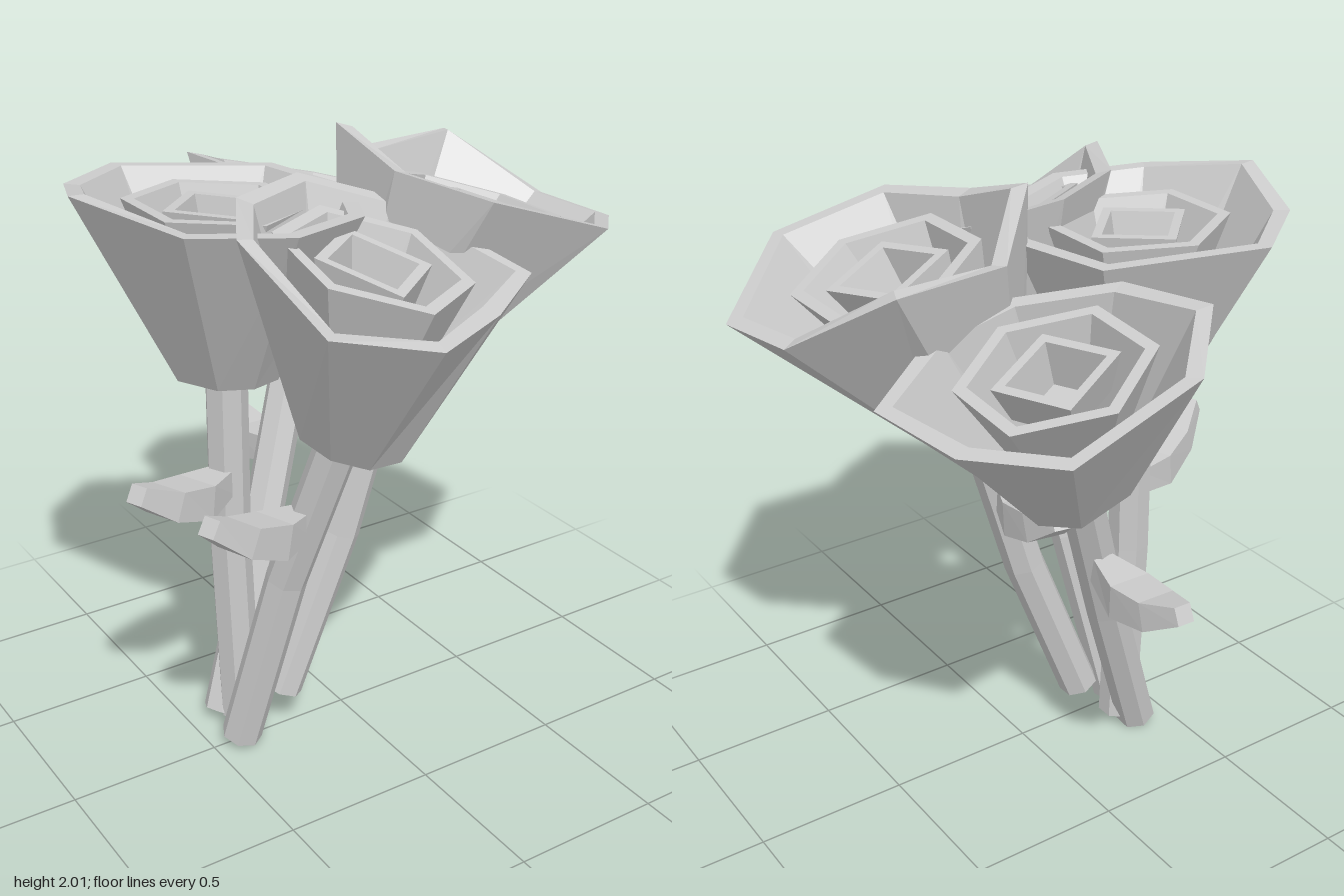
import * as THREE from 'three';

const V = (x, y, z) => new THREE.Vector3(x, y, z);
const rad = THREE.MathUtils.degToRad;
const material = new THREE.MeshStandardMaterial({ color: 0xcccccc, flatShading: true, side: THREE.DoubleSide });

// Skin between successive rings, optionally closed at both ends
function loft(name, rings, capped) {
  const pos = [];
  const tri = (...pts) => pts.forEach(p => pos.push(p.x, p.y, p.z));
  const n = rings[0].length;
  for (let i = 0; i < rings.length - 1; i++) {
    for (let j = 0; j < n; j++) {
      const k = (j + 1) % n;
      tri(rings[i][j], rings[i][k], rings[i + 1][k]);
      tri(rings[i][j], rings[i + 1][k], rings[i + 1][j]);
    }
  }
  const first = rings[0], last = rings[rings.length - 1];
  for (let j = 1; capped && j < n - 1; j++) {
    tri(first[0], first[j + 1], first[j]);
    tri(last[0], last[j], last[j + 1]);
  }
  const geometry = new THREE.BufferGeometry();
  geometry.setAttribute('position', new THREE.Float32BufferAttribute(pos, 3));
  geometry.computeVertexNormals();
  const mesh = new THREE.Mesh(geometry, material);
  mesh.name = name;
  return mesh;
}

// Faceted rod along a path; sizes gives [half width, half height] per point
function rod(name, path, sizes, sides, ref) {
  const rings = path.map((p, i) => {
    const t = path[Math.min(i + 1, path.length - 1)].clone().sub(path[Math.max(i - 1, 0)]).normalize();
    const u = t.clone().cross(ref).normalize();
    const v = t.clone().cross(u);
    return Array.from({ length: sides }, (_, j) => {
      const a = (j + 0.5) / sides * Math.PI * 2;
      return p.clone().addScaledVector(u, Math.cos(a) * sizes[i][0]).addScaledVector(v, Math.sin(a) * sizes[i][1]);
    });
  });
  return loft(name, rings, true);
}

// Tilted polygon ring with a radius at each angle (degrees from the front)
function ring(centre, radii, angles, slope) {
  return radii.map((r, i) => {
    const a = rad(angles[i]);
    const dx = Math.sin(a) * r, dz = Math.cos(a) * r;
    return V(centre.x + dx, centre.y + slope[0] * dx + slope[1] * dz, centre.z + dz);
  });
}

// Thick-walled petal cup from a small bottom ring up to the rim and back down inside
function cup(name, mouth, radii, angles, slope, bottom, lowRadius, wall, capped, tips = []) {
  const low = radii.map(() => lowRadius);
  const thin = list => list.map(r => r - wall);
  const rings = [[bottom, low], [mouth, radii], [mouth, thin(radii)], [bottom, thin(low)]]
    .map(([c, r]) => ring(c, r, angles, slope));
  // Some petal corners stand above or below the rim
  tips.forEach(([i, lift]) => [rings[1], rings[2]].forEach(r => { r[i].y += lift; }));
  return loft(name, rings, capped);
}

// Corner angles of the outer petals, shared by every flower
const petalAngles = [0, 64, 103, 147, 196, 234, 272, 315];
const evenAngles = (n, turn) => Array.from({ length: n }, (_, i) => turn + i * 360 / n);

// Left, front, right and back flowers
const flowers = [
  {
    mouth: [-0.4, 1.84, -0.08], slope: [-0.06, 0], turn: 127, tips: [[3, 0.05]], heartTurn: 0,
    radii: [0.47, 0.47, 0.43, 0.45, 0.46, 0.48, 0.47, 0.45],
    base: [-0.36, 1.28, -0.09], foot: [-0.34, 0.03, -0.1], knee: [-0.36, 0.7, -0.1],
    leaf: [[-0.38, 0.92, -0.08], [-0.76, 1.04, 0.08]],
  },
  {
    mouth: [-0.18, 1.775, 0.46], slope: [-0.16, -0.28], turn: 75, tips: [[4, 0.05], [5, -0.07]], heartTurn: -8,
    radii: [0.46, 0.4, 0.44, 0.4, 0.44, 0.43, 0.47, 0.36],
    base: [-0.2, 1.2, 0.35], foot: [-0.4, 0.02, 0.01], knee: [-0.3, 0.65, 0.15],
    leaf: [[-0.28, 0.88, 0.22], [-0.68, 1.04, 0.37]],
  },
  {
    mouth: [0.43, 1.79, 0.13], slope: [-0.32, 0], turn: 11, tips: [[3, 0.12], [5, 0.08]], heartTurn: -25,
    radii: [0.48, 0.44, 0.42, 0.47, 0.44, 0.45, 0.4, 0.46],
    base: [0.16, 1.25, 0.05], foot: [-0.23, 0.13, -0.01], knee: [-0.02, 0.68, 0.02],
    leaf: [[0.06, 0.97, 0.01], [0.12, 1.07, -0.38]],
  },
  {
    mouth: [0.27, 1.67, -0.56], slope: [-0.28, 0.08], turn: 150, tips: [[2, 0.02]], heartTurn: -23,
    radii: [0.42, 0.4, 0.44, 0.39, 0.38, 0.42, 0.49, 0.4],
    base: [0.07, 1.16, -0.38], foot: [-0.38, 0.02, -0.15], knee: [-0.16, 0.6, -0.25],
    leaf: [[-0.05, 0.84, -0.36], [-0.04, 0.89, -0.77]],
  },
];

function makeFlower(f) {
  const flower = new THREE.Group();
  flower.name = 'flower';
  const mouth = V(...f.mouth), base = V(...f.base);
  // The inner layers sit slightly towards the middle of the bunch
  const heart = V(mouth.x * 0.94, mouth.y - 0.01, mouth.z * 0.94);
  const along = t => base.clone().lerp(heart, t);
  const stem = [V(...f.foot), V(...f.knee), base.clone().add(V(0, 0.06, 0))];
  // Leaves sag in the middle and curl up at the tip
  const [root, end] = f.leaf.map(p => V(...p));
  const leaf = [0, 0.35, 0.7, 1].map(t => {
    const p = root.clone().lerp(end, t);
    p.y -= 0.05 * Math.sin(Math.PI * t);
    return p;
  });
  const outer = petalAngles.map(a => a + f.turn);
  flower.add(
    cup('outerPetals', mouth, f.radii, outer, f.slope, base, 0.17, 0.05, false, f.tips),
    cup('middlePetals', along(0.98), Array(6).fill(0.28), evenAngles(6, 0), f.slope, along(0.2), 0.13, 0.04, true),
    cup('innerPetals', along(0.96), Array(4).fill(0.18), evenAngles(4, f.heartTurn), f.slope, along(0.7), 0.14, 0.04, true),
    rod('stem', stem, stem.map(() => [0.068, 0.068]), 7, V(0, 0, 1)),
    rod('leaf', leaf, [[0.05, 0.06], [0.1, 0.08], [0.09, 0.065], [0.04, 0.04]], 4, V(0, 1, 0)),
  );
  return flower;
}

export function createModel() {
  const bouquet = new THREE.Group();
  bouquet.name = 'bouquet';
  flowers.forEach(f => bouquet.add(makeFlower(f)));
  return bouquet;
}
